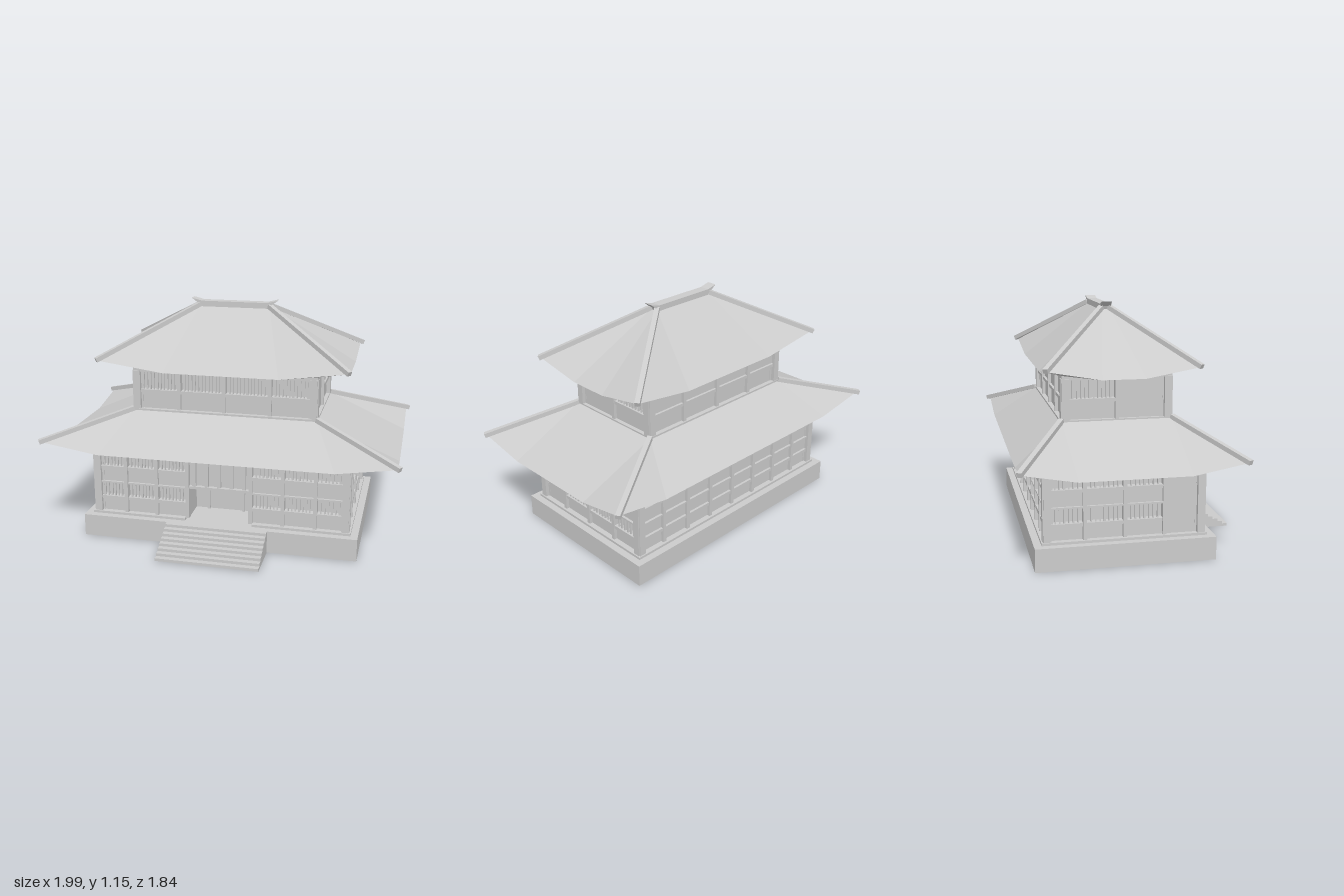
import * as THREE from 'three';

const grey = new THREE.MeshStandardMaterial({ color: 0xcccccc, flatShading: true, side: THREE.DoubleSide });

function add(parent, name, geometry) {
  const mesh = new THREE.Mesh(geometry, grey);
  mesh.name = name;
  parent.add(mesh);
  return mesh;
}

// Box given by its min and max on each axis
function box(parent, name, x0, x1, y0, y1, z0, z1) {
  const mesh = add(parent, name, new THREE.BoxGeometry(x1 - x0, y1 - y0, z1 - z0));
  mesh.position.set((x0 + x1) / 2, (y0 + y1) / 2, (z0 + z1) / 2);
  return mesh;
}

// Beam between two points
function beam(parent, name, from, to, w, h) {
  const mesh = new THREE.Mesh(new THREE.BoxGeometry(w, h, from.distanceTo(to)), grey);
  mesh.name = name;
  mesh.position.copy(from).lerp(to, 0.5);
  mesh.lookAt(to);
  parent.add(mesh);
}

// One timber wall facing +z. Bays: W lattice window, P two-part panel, B blank panel, D doorway
function wall(parent, name, half, bays, y0, y1, rows, bars) {
  const g = new THREE.Group();
  g.name = name;
  parent.add(g);
  const n = bays.length, w = (2 * half) / n, rowH = (y1 - y0) / rows, t = 0.009;
  for (let i = 0; i <= n; i++) {
    if (bays[i - 1] === 'D' && bays[i] === 'D') continue;
    const x = -half + i * w;
    box(g, 'post', x - t, x + t, y0, y1, -0.03, 0.004);
  }
  for (let i = 0; i < n; i++) {
    const kind = bays[i], x0 = -half + i * w + t, x1 = x0 + w - 2 * t;
    if (kind === 'D') continue;
    if (kind === 'B') {
      box(g, 'blankPanel', x0, x1, y0, y1, -0.04, -0.01);
      continue;
    }
    for (let r = 0; r < rows; r++) {
      const b = y0 + r * rowH, mid = b + rowH * 0.46, top = b + rowH;
      box(g, 'lowerPanel', x0, x1, b, mid, -0.04, -0.012);
      box(g, 'middleRail', x0, x1, mid - 0.008, mid + 0.008, -0.035, 0);
      box(g, 'topRail', x0, x1, top - 0.008, top, -0.035, 0);
      if (kind === 'P') {
        box(g, 'upperPanel', x0, x1, mid, top, -0.04, -0.012);
        continue;
      }
      for (let k = 1; k < bars; k++) {
        const x = x0 + ((x1 - x0) * k) / bars, s = k * 2 === bars ? 0.005 : 0.003;
        box(g, 'latticeBar', x - s, x + s, mid, top - 0.008, -0.018, -0.008);
      }
    }
  }
  return g;
}

// Four walls around a storey of half size a by b
function storey(parent, name, a, b, y0, y1, rows, bars, front, back, side) {
  const g = new THREE.Group();
  g.name = name;
  parent.add(g);
  const mirrored = side.split('').reverse().join('');
  wall(g, 'frontWall', a, front, y0, y1, rows, bars).position.z = b;
  const rear = wall(g, 'backWall', a, back, y0, y1, rows, bars);
  rear.position.z = -b;
  rear.rotation.y = Math.PI;
  const left = wall(g, 'leftWall', b, side, y0, y1, rows, bars);
  left.position.x = a;
  left.rotation.y = Math.PI / 2;
  const right = wall(g, 'rightWall', b, mirrored, y0, y1, rows, bars);
  right.position.x = -a;
  right.rotation.y = -Math.PI / 2;
  return g;
}

// Hipped roof with lifted corners: soffit, eave and top loops, plus a beam on each hip
function roof(parent, name, o) {
  const g = new THREE.Group();
  g.name = name;
  parent.add(g);
  const loops = [[], [], []];
  for (const [sx, sz] of [[1, 1], [1, -1], [-1, -1], [-1, 1]]) {
    let pts = [[o.flatX, o.eaveY, o.b], [o.a, o.tipY, o.b], [o.a, o.eaveY, o.flatZ]];
    if (sx * sz < 0) pts = pts.reverse();
    for (const [x, y, z] of pts) {
      loops[0].push([sx * o.wallA, o.eaveY, sz * o.wallB]);
      loops[1].push([sx * x, y, sz * z]);
      loops[2].push([sx * o.topA, o.topY, sz * o.topB]);
    }
    const tip = new THREE.Vector3(sx * (o.a + 0.012), o.tipY + 0.006, sz * (o.b + 0.012));
    const top = new THREE.Vector3(sx * o.topA, o.topY + 0.006, sz * o.topB);
    beam(g, 'hipBeam', tip, top, 0.024, 0.022);
  }
  const pos = [];
  for (let r = 0; r < 2; r++) {
    for (let i = 0; i < 12; i++) {
      const j = (i + 1) % 12;
      const A = loops[r][i], B = loops[r][j], C = loops[r + 1][j], D = loops[r + 1][i];
      pos.push(...A, ...B, ...C, ...A, ...C, ...D);
    }
  }
  const geo = new THREE.BufferGeometry();
  geo.setAttribute('position', new THREE.Float32BufferAttribute(pos, 3));
  geo.computeVertexNormals();
  add(g, 'roofSurface', geo);
}

// Steps open underneath: a folded strip and two side faces
function stairs(parent, half, zTop, zEnd, height, n) {
  const profile = [[zTop, height]];
  for (let i = 0; i < n; i++) {
    const z = zTop + ((zEnd - zTop) * (i + 1)) / n;
    profile.push([z, height * (1 - i / n)], [z, height * (1 - (i + 1) / n)]);
  }
  const strip = new THREE.PlaneGeometry(1, 1, 1, profile.length - 1);
  profile.forEach(([z, y], i) => {
    strip.attributes.position.setXYZ(2 * i, -half, y, z);
    strip.attributes.position.setXYZ(2 * i + 1, half, y, z);
  });
  strip.computeVertexNormals();
  add(parent, 'steps', strip);
  const shape = new THREE.Shape([...profile, [zTop, 0]].map(([z, y]) => new THREE.Vector2(-z, y)));
  for (const s of [-1, 1]) {
    const side = add(parent, 'stairSide', new THREE.ShapeGeometry(shape));
    side.rotation.y = Math.PI / 2;
    side.position.x = s * half;
  }
}

export function createModel() {
  const model = new THREE.Group();
  model.name = 'pavilion';
  const g = new THREE.Group();
  g.name = 'building';
  g.rotation.y = THREE.MathUtils.degToRad(36);
  model.add(g);

  // Platform, open underneath
  const slab = box(g, 'platform', -0.68, 0.68, 0, 0.11, -0.42, 0.42).geometry;
  const index = Array.from(slab.index.array);
  index.splice(18, 6);
  slab.setIndex(index);
  slab.clearGroups();
  stairs(g, 0.25, 0.42, 0.625, 0.11, 8);

  // Lower storey: core with a recessed entrance
  const door = 0.1575;
  box(g, 'lowerCoreBack', -0.595, 0.595, 0.11, 0.455, -0.335, 0.2);
  for (const s of [-1, 1]) {
    const xs = [s * door, s * 0.595].sort((p, q) => p - q);
    box(g, 'lowerCoreFront', xs[0], xs[1], 0.11, 0.455, 0.2, 0.335);
    const sill = [s * (door + 0.01), s * 0.645].sort((p, q) => p - q);
    box(g, 'frontSill', sill[0], sill[1], 0.11, 0.122, 0.33, 0.385);
    box(g, 'sideSill', s * 0.62 - 0.025, s * 0.62 + 0.025, 0.11, 0.122, -0.385, 0.385);
    box(g, 'doorPost', s * 0.09 - 0.006, s * 0.09 + 0.006, 0.11, 0.28, 0.2, 0.215);
  }
  box(g, 'backSill', -0.645, 0.645, 0.11, 0.122, -0.385, -0.33);
  storey(g, 'lowerStorey', 0.63, 0.37, 0.12, 0.437, 2, 8, 'WWWDDWWW', 'PPPPPPPP', 'BWWW');
  box(g, 'lowerTopBeam', -0.635, 0.635, 0.434, 0.458, -0.375, 0.375);

  // Slatted screen above the entrance
  box(g, 'entranceLintel', -door, door, 0.275, 0.288, 0.335, 0.37);
  box(g, 'entranceScreen', -door, door, 0.288, 0.437, 0.335, 0.35);
  for (let i = -2; i <= 2; i++) {
    box(g, 'entranceSlat', i * 0.062 - 0.009, i * 0.062 + 0.009, 0.288, 0.437, 0.35, 0.366);
  }

  // Upper storey
  box(g, 'upperCore', -0.415, 0.415, 0.5, 0.845, -0.22, 0.22);
  box(g, 'upperSill', -0.458, 0.458, 0.615, 0.636, -0.266, 0.266);
  storey(g, 'upperStorey', 0.45, 0.255, 0.636, 0.828, 1, 12, 'WWWW', 'PPPP', 'BW');
  box(g, 'upperTopBeam', -0.455, 0.455, 0.826, 0.845, -0.26, 0.26);

  // Roofs
  roof(g, 'lowerRoof', {
    a: 0.85, b: 0.49, tipY: 0.5, eaveY: 0.457, flatX: 0.57, flatZ: 0.25,
    wallA: 0.63, wallB: 0.37, topA: 0.455, topB: 0.262, topY: 0.63
  });
  roof(g, 'upperRoof', {
    a: 0.597, b: 0.342, tipY: 0.885, eaveY: 0.842, flatX: 0.28, flatZ: 0.1,
    wallA: 0.45, wallB: 0.255, topA: 0.175, topB: 0.018, topY: 1.12
  });

  // Ridge cap with upturned ends
  const cap = new THREE.Shape([
    [-0.175, 1.105], [0.175, 1.105], [0.185, 1.13], [0.217, 1.155], [0.165, 1.142],
    [-0.165, 1.142], [-0.217, 1.155], [-0.185, 1.13]
  ].map(([x, y]) => new THREE.Vector2(x, y)));
  const ridge = add(g, 'ridgeCap', new THREE.ExtrudeGeometry(cap, { depth: 0.05, bevelEnabled: false }));
  ridge.position.z = -0.025;

  return model;
}
